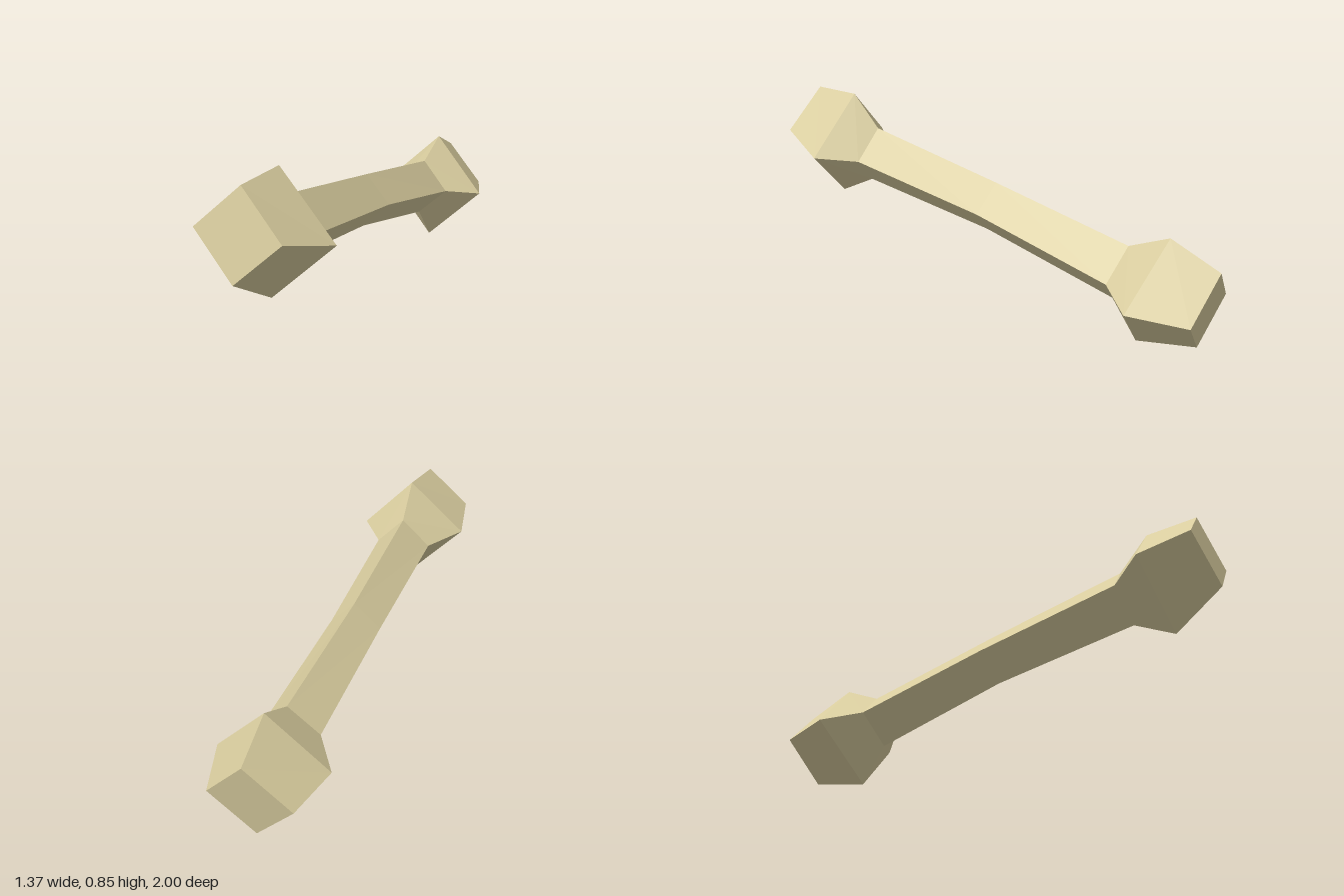
import * as THREE from 'three';

// Square cross-sections from the raised end to the low end: top, right and bottom corners.
// The left corner completes each parallelogram.
const SECTIONS = [
  [[-0.505, 0.845, 0.87], [-0.367, 0.665, 0.997], [-0.547, 0.49, 0.935]], // front end face
  [[-0.372, 0.848, 0.675], [-0.172, 0.59, 0.838], [-0.415, 0.35, 0.758]], // front knob, widest
  [[-0.31, 0.7, 0.558], [-0.203, 0.567, 0.638], [-0.325, 0.44, 0.6]], // front neck
  [[0.008, 0.558, -0.02], [0.1, 0.44, 0.06], [-0.01, 0.328, 0.022]], // middle of the shaft
  [[0.35, 0.42, -0.588], [0.447, 0.287, -0.497], [0.32, 0.165, -0.535]], // back neck
  [[0.445, 0.5, -0.745], [0.633, 0.245, -0.56], [0.39, 0.002, -0.637]], // back knob, widest
  [[0.543, 0.398, -0.94], [0.68, 0.217, -0.817], [0.5, 0.04, -0.877]], // back end face
];

const RINGS = SECTIONS.map((corners) => {
  const [top, right, bottom] = corners.map((c) => new THREE.Vector3(...c));
  const left = top.clone().add(bottom).sub(right);
  return [top, right, bottom, left];
});

// Skin a run of rings with flat quads, optionally closing either end.
function loft(rings, capFront, capBack) {
  const points = [];
  const quad = (a, b, c, d) => points.push(a, b, c, a, c, d);
  for (let i = 0; i < rings.length - 1; i++) {
    const r = rings[i], s = rings[i + 1];
    for (let k = 0; k < 4; k++) {
      const n = (k + 1) % 4;
      quad(r[k], r[n], s[n], s[k]);
    }
  }
  if (capFront) quad(...[...rings[0]].reverse());
  if (capBack) quad(...rings[rings.length - 1]);
  const geometry = new THREE.BufferGeometry().setFromPoints(points);
  geometry.computeVertexNormals();
  return geometry;
}

export function createModel() {
  const group = new THREE.Group();
  group.name = 'bone';
  const ivory = new THREE.MeshStandardMaterial({ color: 0xd8cc9e, flatShading: true });
  ivory.name = 'ivory';

  const add = (name, geometry) => {
    const mesh = new THREE.Mesh(geometry, ivory);
    mesh.name = name;
    group.add(mesh);
  };
  add('frontKnob', loft(RINGS.slice(0, 3), true, false));
  add('shaft', loft(RINGS.slice(2, 5), false, false));
  add('backKnob', loft(RINGS.slice(4, 7), false, true));
  return group;
}
